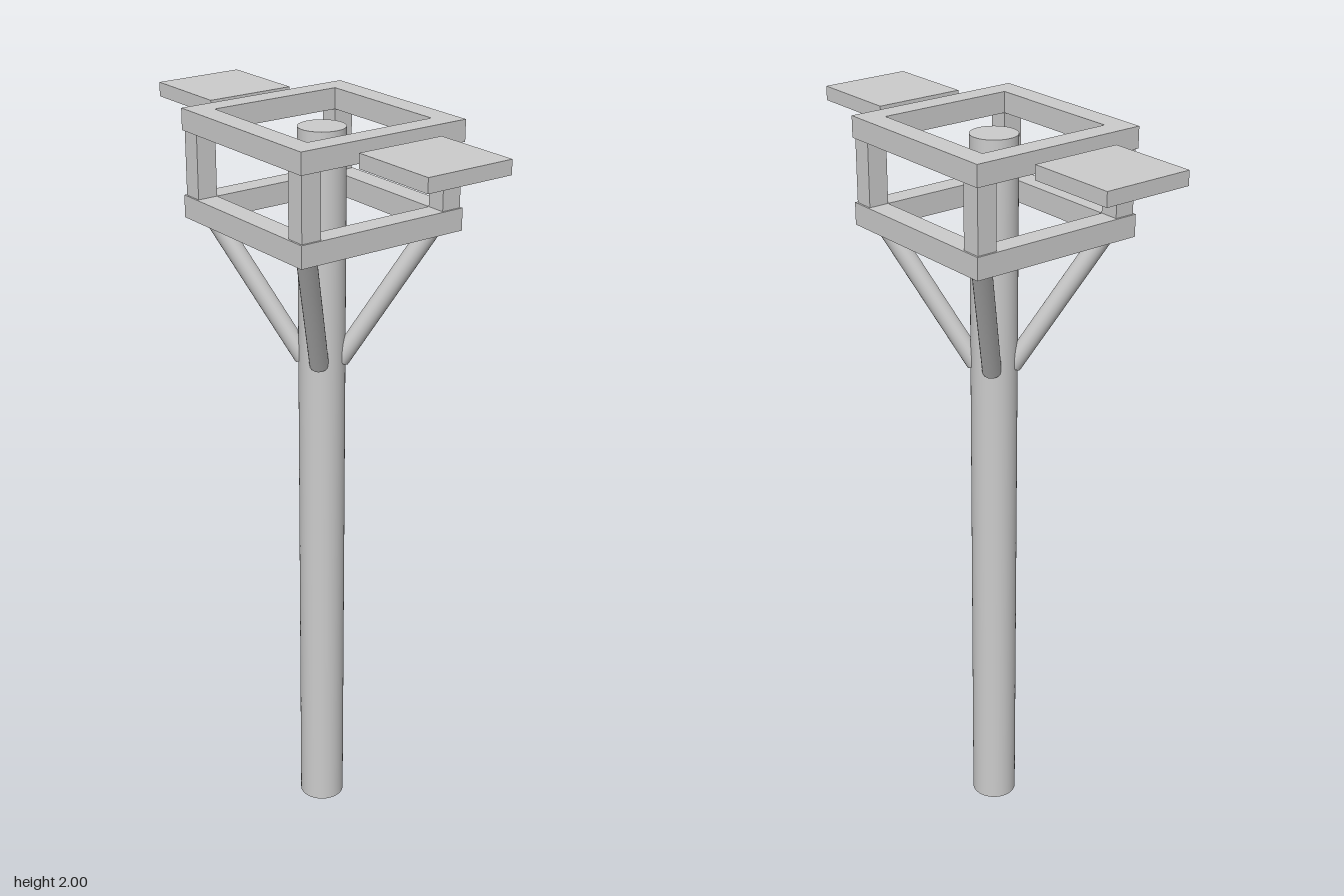
import * as THREE from 'three';

const material = new THREE.MeshStandardMaterial({ color: 0xcccccc });

function add(parent, name, geometry, x = 0, y = 0, z = 0) {
  const mesh = new THREE.Mesh(geometry, material);
  mesh.name = name;
  mesh.position.set(x, y, z);
  parent.add(mesh);
  return mesh;
}

// Closed rectangle, half sizes a by b
function rectangle(a, b, Type) {
  return new Type([[-a, -b], [a, -b], [a, b], [-a, b]].map(([x, y]) => new THREE.Vector2(x, y)));
}

// Horizontal rectangular ring rising from y = 0
function ring(outX, outZ, inX, inZ, height) {
  const shape = rectangle(outX, outZ, THREE.Shape);
  shape.holes.push(rectangle(inX, inZ, THREE.Path));
  return new THREE.ExtrudeGeometry(shape, { depth: height, bevelEnabled: false }).rotateX(-Math.PI / 2);
}

// Round bar between two points
function bar(parent, name, from, to, radius) {
  const dir = to.clone().sub(from);
  const mesh = add(parent, name, new THREE.CylinderGeometry(radius, radius, dir.length(), 24));
  mesh.position.copy(from).add(to).multiplyScalar(0.5);
  mesh.quaternion.setFromUnitVectors(new THREE.Vector3(0, 1, 0), dir.normalize());
}

export function createModel() {
  const model = new THREE.Group();
  model.name = 'polePlatform';

  // Central pole
  add(model, 'pole', new THREE.CylinderGeometry(0.061, 0.061, 1.97, 48), 0, 0.985, 0);

  // Open cage: two rings joined by corner posts
  const cage = new THREE.Group();
  cage.name = 'cage';
  model.add(cage);
  add(cage, 'topRing', ring(0.25, 0.245, 0.192, 0.185, 0.055), 0, 1.945, 0);
  add(cage, 'bottomRing', ring(0.25, 0.245, 0.192, 0.185, 0.058), 0, 1.722, 0);

  for (const sx of [-1, 1]) {
    for (const sz of [-1, 1]) {
      add(cage, 'cornerPost', new THREE.BoxGeometry(0.053, 0.175, 0.055), sx * 0.2185, 1.8625, sz * 0.2125);

      // Diagonal brace from the pole to the cage corner
      bar(model, 'brace',
        new THREE.Vector3(sx * 0.034, 1.362, sz * 0.034),
        new THREE.Vector3(sx * 0.207, 1.748, sz * 0.202), 0.025);
    }

    // Detached side panel, hollow underneath
    const panel = new THREE.Group();
    panel.name = sx > 0 ? 'leftPanel' : 'rightPanel';
    panel.position.set(sx * 0.4275, 1.953, 0);
    model.add(panel);
    add(panel, 'panelRim', ring(0.1225, 0.1225, 0.088, 0.088, 0.025));
    add(panel, 'panelPlate', new THREE.BoxGeometry(0.245, 0.012, 0.245), 0, 0.031, 0);
  }

  return model;
}
